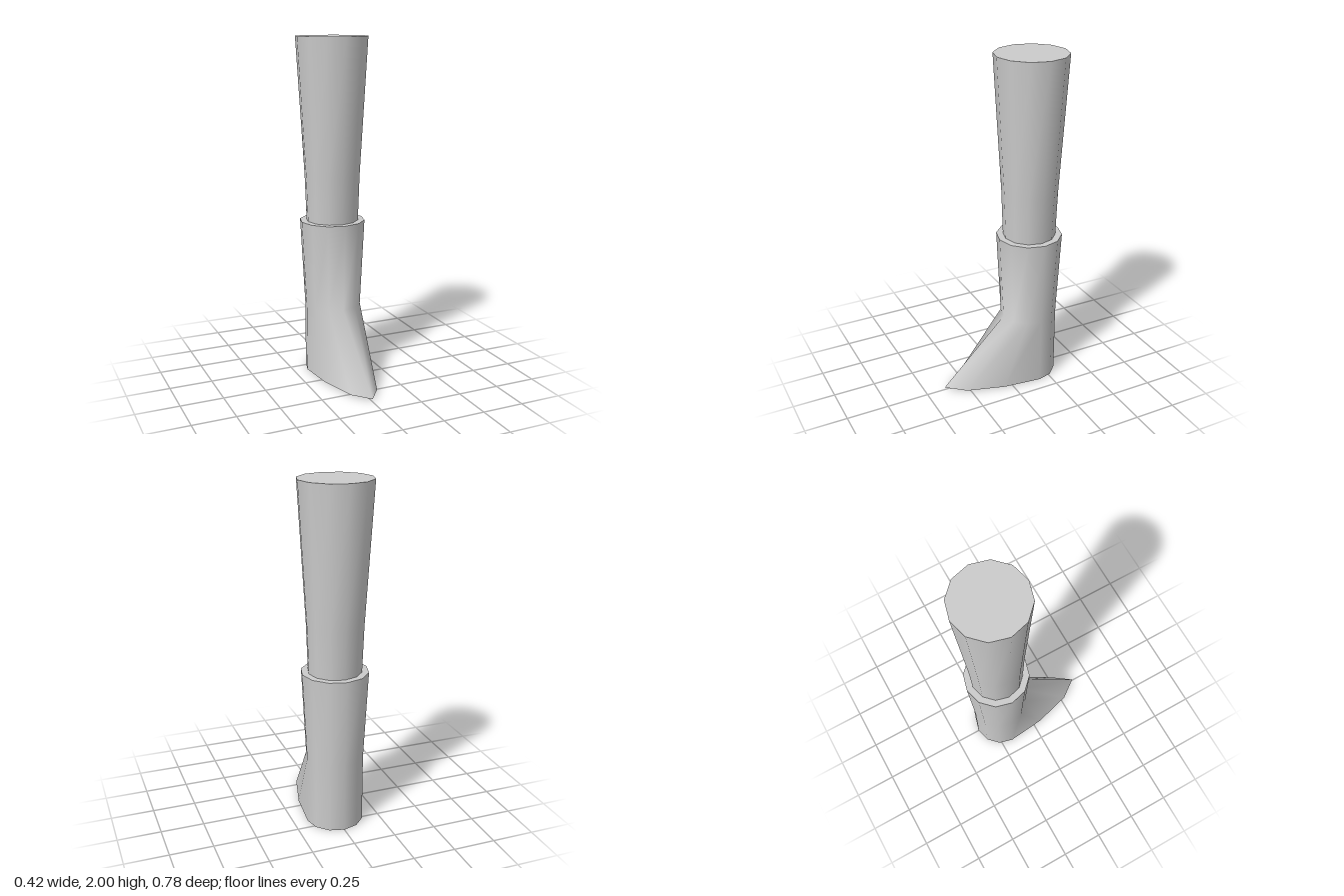
import * as THREE from 'three';

const SIDES = 12;
const AXIS_Z = -0.18; // the leg stands behind the centre, the toe reaches forward

// A level twelve-sided ring of points, starting at the front (+z)
function ring(y, radius) {
  return Array.from({ length: SIDES }, (_, j) => {
    const a = (j / SIDES) * Math.PI * 2;
    return [Math.sin(a) * radius, y, AXIS_Z + Math.cos(a) * radius];
  });
}

// Smooth skin over rings listed bottom to top, closed by flat caps with sharp rims
function skin(rings) {
  const positions = rings.flat(2);
  const index = [];
  for (let r = 0; r < rings.length - 1; r++) {
    for (let j = 0; j < SIDES; j++) {
      const k = (j + 1) % SIDES;
      const a = r * SIDES + j, b = r * SIDES + k;
      index.push(a, b, b + SIDES, a, b + SIDES, a + SIDES);
    }
  }
  const cap = (points, up) => {
    const start = positions.length / 3;
    positions.push(...points.flat());
    for (let j = 1; j < SIDES - 1; j++) {
      if (up) index.push(start, start + j, start + j + 1);
      else index.push(start, start + j + 1, start + j);
    }
  };
  cap(rings[0], false);
  cap(rings[rings.length - 1], true);

  const geometry = new THREE.BufferGeometry();
  geometry.setAttribute('position', new THREE.Float32BufferAttribute(positions, 3));
  geometry.setIndex(index);
  geometry.computeVertexNormals();
  return geometry;
}

export function createModel() {
  const group = new THREE.Group();
  group.name = 'bootedLeg';
  const material = new THREE.MeshStandardMaterial({ color: 0xcccccc });
  const add = (name, rings) => {
    const mesh = new THREE.Mesh(skin(rings), material);
    mesh.name = name;
    group.add(mesh);
  };

  // Tapered leg, its lower end sunk into the boot
  add('leg', [ring(0.88, 0.152), ring(1.2, 0.163), ring(2, 0.21)]);

  // Sole outline: round heel, front points drawn out to a slightly lifted toe
  const sole = ring(0, 0.167);
  const toe = [[0.015, 0.387], [0.009, 0.275], [0.004, 0.05]]; // y, z from the tip back
  toe.forEach(([y, z], i) => {
    for (const j of [i, (SIDES - i) % SIDES]) {
      sole[j][1] = y;
      sole[j][2] = z;
    }
  });

  // Boot: pointed foot, ankle and flared shaft
  add('boot', [sole, ring(0.41, 0.167), ring(0.93, 0.193)]);

  return group;
}
